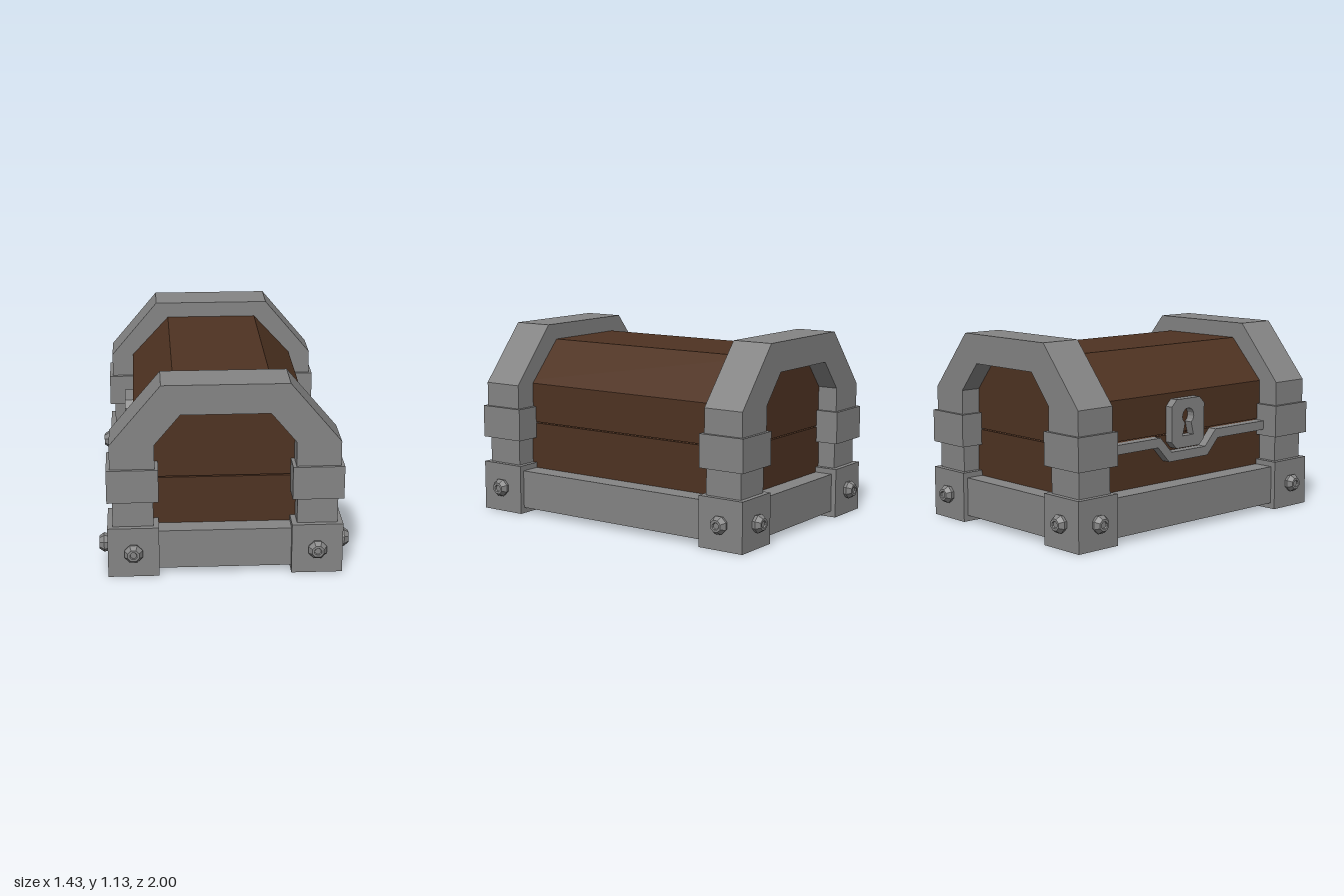
import * as THREE from 'three';

const iron = new THREE.MeshStandardMaterial({ color: 0x858585 });
iron.name = 'iron grey';
const wood = new THREE.MeshStandardMaterial({ color: 0x4f3322 });
wood.name = 'dark wood';

export function createModel() {
  const chest = new THREE.Group();
  chest.name = 'chest';

  const add = (name, geometry, material, parent = chest) => {
    const mesh = new THREE.Mesh(geometry, material);
    mesh.name = name;
    parent.add(mesh);
    return mesh;
  };
  // Box given by its lower and upper limits on each axis
  const box = (name, x, y, z, material, parent) => {
    const g = new THREE.BoxGeometry(x[1] - x[0], y[1] - y[0], z[1] - z[0]);
    g.translate((x[0] + x[1]) / 2, (y[0] + y[1]) / 2, (z[0] + z[1]) / 2);
    return add(name, g, material, parent);
  };
  const polygon = (points) => new THREE.Shape(points.map(([x, y]) => new THREE.Vector2(x, y)));
  const extrude = (shape, depth) =>
    new THREE.ExtrudeGeometry(shape, { depth, bevelEnabled: false, curveSegments: 6 });
  // Completes the right half of an outline with its mirror image
  const mirrored = (half) => [...half, ...half.map(([x, y]) => [-x, y]).reverse()];

  // Wooden body and faceted lid, with a narrow seam between them
  box('body', [-0.51, 0.51], [0.15, 0.545], [-0.81, 0.81], wood);
  const lid = extrude(polygon(mirrored([[0.51, 0.552], [0.51, 0.79], [0.28, 1.04]])), 1.62);
  lid.translate(0, 0, -0.81);
  add('lid', lid, wood);

  // Arched bands at both ends of the lid
  const archOutline = [
    ...mirrored([[0.645, 0.552], [0.645, 0.79], [0.355, 1.135]]),
    ...mirrored([[-0.395, 0.552], [-0.395, 0.79], [-0.25, 0.963]]),
  ];
  for (const s of [-1, 1]) {
    const arch = extrude(polygon(archOutline), 0.25);
    arch.translate(0, 0, s * 0.807 - 0.125);
    add('lidArch', arch, iron);
    // Base rails
    box('endRail', [-0.52, 0.52], [0.035, 0.265], [s * 0.805 - 0.115, s * 0.805 + 0.115], iron);
    box('sideRail', [s * 0.52 - 0.115, s * 0.52 + 0.115], [0.035, 0.265], [-0.8, 0.8], iron);
  }

  // Octagonal bolt head, pointing along +z
  let boltGeometry = new THREE.LatheGeometry(
    [[0.05, 0], [0.056, 0.022], [0.036, 0.05], [0.022, 0.05], [0.018, 0.042], [0, 0.042]]
      .map(([r, h]) => new THREE.Vector2(r, h)), 8, Math.PI / 8);
  boltGeometry.rotateX(Math.PI / 2);
  boltGeometry = boltGeometry.toNonIndexed();
  boltGeometry.computeVertexNormals();

  // Four corners: foot block, post, collar and two bolts
  for (const sx of [-1, 1]) {
    for (const sz of [-1, 1]) {
      const corner = new THREE.Group();
      corner.name = 'corner';
      chest.add(corner);
      const cx = sx * 0.52, cz = sz * 0.805;
      const block = (name, y0, y1, r) =>
        box(name, [cx - r, cx + r], [y0, y1], [cz - r, cz + r], iron, corner);
      block('foot', 0, 0.297, 0.145);
      block('post', 0.28, 0.545, 0.115);
      block('collar', 0.453, 0.647, 0.145);
      const endBolt = add('endBolt', boltGeometry, iron, corner);
      endBolt.position.set(cx, 0.15, sz * 0.95);
      endBolt.rotation.y = sz > 0 ? 0 : Math.PI;
      const sideBolt = add('sideBolt', boltGeometry, iron, corner);
      sideBolt.position.set(sx * 0.665, 0.15, cz);
      sideBolt.rotation.y = sx * Math.PI / 2;
    }
  }

  // Outline drawn in (z, y), extruded outwards from the -x side
  const onLockSide = (shape, depth) => {
    const g = extrude(shape, depth);
    g.rotateY(-Math.PI / 2);
    g.translate(-0.508, 0, 0);
    return g;
  };

  // Band along the body's upper edge, dipping beneath the lock
  const band = polygon([
    ...[[-0.7, 0.545], [-0.23, 0.545], [-0.14, 0.45], [0.14, 0.45], [0.23, 0.545], [0.7, 0.545]],
    ...[[0.7, 0.49], [0.25, 0.49], [0.16, 0.395], [-0.16, 0.395], [-0.25, 0.49], [-0.7, 0.49]],
  ]);
  add('lockBand', onLockSide(band, 0.057), iron);

  // Lock plate with clipped corners and an open keyhole
  const plate = polygon(mirrored([[0.095, 0.465], [0.135, 0.505], [0.135, 0.715], [0.095, 0.755]]));
  const keyhole = new THREE.Path();
  keyhole.moveTo(-0.045, 0.535);
  keyhole.lineTo(0.045, 0.535);
  keyhole.lineTo(0.025, 0.61);
  keyhole.absarc(0, 0.65, 0.047, -1.01, Math.PI + 1.01, false);
  keyhole.closePath();
  plate.holes.push(keyhole);
  add('lockPlate', onLockSide(plate, 0.052), iron);

  return chest;
}
